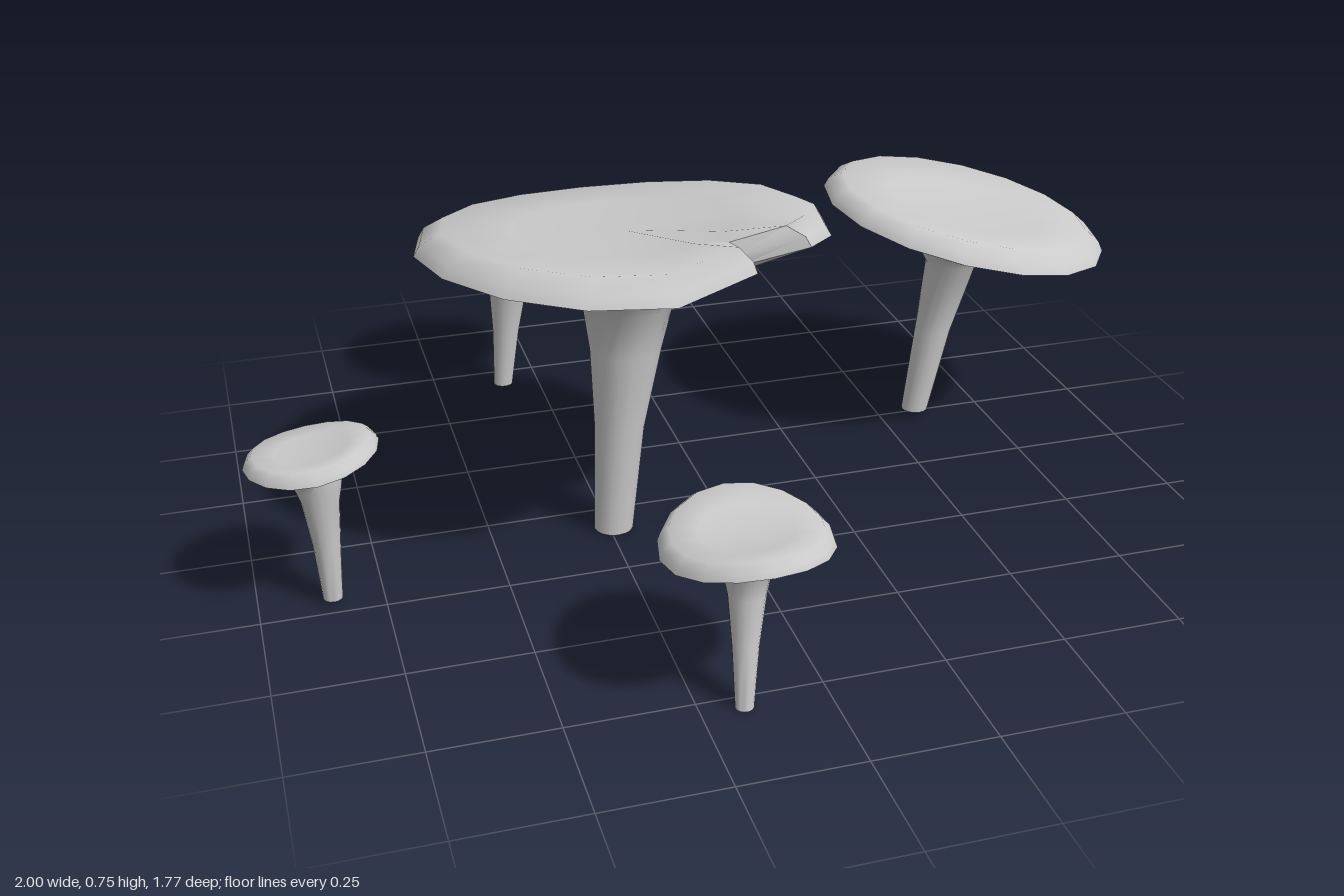
import * as THREE from 'three';
import { toCreasedNormals } from 'three/addons/utils/BufferGeometryUtils.js';

const SIDES = 16;
const material = new THREE.MeshStandardMaterial({ color: 0xcccccc });

// Each mushroom: stem rings [x, y, z, radius] from the ground up, then a tilted, wavy cap.
// tilt = rise per unit of x and z, wave = saddle height of the rim (+ lifts the x sides).
const MUSHROOMS = [
  {
    name: 'largeMushroom', cap: [-0.2, 0.652, 0.05], radius: 0.425, tilt: [0, 0.12], wave: 0.018,
    thick: 0.05, split: Math.PI * 5 / 16,
    stem: [[-0.24, 0.01, 0.08, 0.042], [-0.222, 0.25, 0.078, 0.053], [-0.203, 0.43, 0.07, 0.076], [-0.195, 0.53, 0.065, 0.096]],
  },
  {
    name: 'tiltedMushroom', cap: [0.68, 0.505, -0.228], radius: 0.324, tilt: [-0.21, -0.04], wave: 0,
    thick: 0.045,
    stem: [[0.585, 0.025, -0.235, 0.031], [0.622, 0.23, -0.235, 0.042], [0.66, 0.4, -0.235, 0.06], [0.665, 0.435, -0.235, 0.085]],
  },
  {
    name: 'backMushroom', cap: [-0.302, 0.388, -0.692], radius: 0.194, tilt: [0.02, 0.14], wave: 0.014,
    thick: 0.034,
    stem: [[-0.335, 0.008, -0.685, 0.023], [-0.322, 0.15, -0.685, 0.032], [-0.311, 0.27, -0.685, 0.047], [-0.308, 0.325, -0.685, 0.06]],
  },
  {
    name: 'frontMushroom', cap: [-0.143, 0.326, 0.718], radius: 0.164, tilt: [0.02, 0], wave: -0.014,
    thick: 0.03,
    stem: [[-0.165, 0.008, 0.782, 0.018], [-0.157, 0.13, 0.76, 0.026], [-0.147, 0.225, 0.735, 0.037], [-0.145, 0.27, 0.728, 0.047]],
  },
  {
    name: 'sideMushroom', cap: [-0.867, 0.33, 0.188], radius: 0.133, tilt: [0.11, 0.08], wave: 0.006,
    thick: 0.027,
    stem: [[-0.852, 0.014, 0.2, 0.02], [-0.854, 0.14, 0.2, 0.028], [-0.858, 0.235, 0.195, 0.038], [-0.86, 0.27, 0.192, 0.048]],
  },
];

// Cap cross-section: [radius fraction, height in rim thicknesses]
const CAP = [[0.42, -1.15], [0.75, -0.65], [1, 0], [0.97, 0.45], [0.87, 0.95], [0.55, 0.75], [0, 0.55]];
// Radius fractions of the same rings along the split in the rim
const SPLIT = [0.38, 0.6, 0.71, 0.7, 0.66, 0.48, 0];

function mushroomGeometry({ cap, radius, tilt, wave, thick, split, stem }) {
  const angles = Array.from({ length: SIDES }, (_, i) => i * Math.PI * 2 / SIDES);
  if (split !== undefined) angles.push(split);
  angles.sort((a, b) => a - b);

  const points = [];
  // Foot disc and stem
  const [fx, fy, fz] = stem[0];
  for (const [x, y, z, r] of [[fx, fy, fz, 0], ...stem]) {
    for (const a of angles) points.push(x + r * Math.cos(a), y, z + r * Math.sin(a));
  }
  // Underside, rim and top of the cap
  CAP.forEach(([f, h], i) => {
    for (const a of angles) {
      const inSplit = a === split;
      const k = inSplit ? SPLIT[i] : f;
      const dx = k * radius * Math.cos(a), dz = k * radius * Math.sin(a);
      let y = cap[1] + h * thick + tilt[0] * dx + tilt[1] * dz + wave * k * k * Math.cos(2 * a);
      // Lips beside the split curl up
      if (split !== undefined && !inSplit && Math.abs(a - split) < 0.25) y += 0.035 * k * k;
      points.push(cap[0] + dx, y, cap[2] + dz);
    }
  });

  // Join neighbouring rings; the first and last rings are single points
  const n = angles.length, rings = points.length / 3 / n, index = [];
  for (let i = 0; i < rings - 1; i++) {
    for (let j = 0; j < n; j++) {
      const a = i * n + j, b = i * n + (j + 1) % n, c = a + n, d = b + n;
      if (i === 0) index.push(a, c, d);
      else if (i === rings - 2) index.push(a, c, b);
      else index.push(a, c, b, b, c, d);
    }
  }
  const geometry = new THREE.BufferGeometry();
  geometry.setAttribute('position', new THREE.Float32BufferAttribute(points, 3));
  geometry.setIndex(index);
  return toCreasedNormals(geometry, 1.1);
}

export function createModel() {
  const group = new THREE.Group();
  group.name = 'mushroomCluster';
  for (const spec of MUSHROOMS) {
    const mesh = new THREE.Mesh(mushroomGeometry(spec), material);
    mesh.name = spec.name;
    group.add(mesh);
  }
  return group;
}
